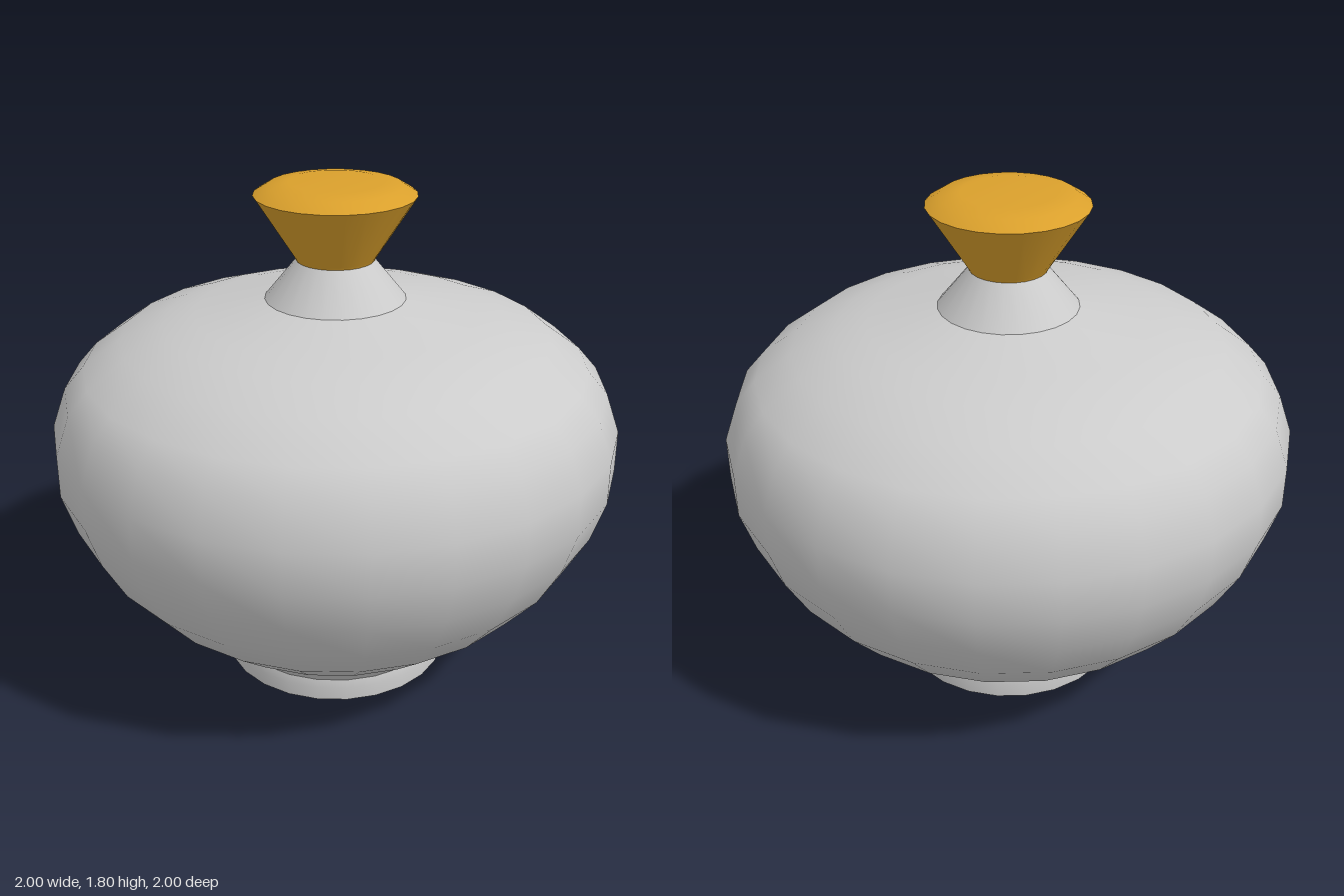
import * as THREE from 'three';

const SEGMENTS = 24;
const grey = new THREE.MeshStandardMaterial({ color: 0xcccccc, side: THREE.DoubleSide });
const amber = new THREE.MeshStandardMaterial({ color: 0xdaa02c, side: THREE.DoubleSide });

// Turned surface from [radius, height] pairs, listed bottom to top
function turned(name, profile, material) {
  const points = profile.map(([r, y]) => new THREE.Vector2(r, y));
  const mesh = new THREE.Mesh(new THREE.LatheGeometry(points, SEGMENTS), material);
  mesh.name = name;
  return mesh;
}

export function createModel() {
  const bottle = new THREE.Group();
  bottle.name = 'bottle';

  // Foot ring with its flat underside; separate lathes keep the edges sharp
  bottle.add(turned('footBase', [[0, 0], [0.415, 0]], grey));
  bottle.add(turned('foot', [[0.415, 0], [0.415, 0.05], [0.408, 0.08]], grey));

  // Wide rounded belly rising to the shoulder
  bottle.add(turned('body', [
    [0.408, 0.08], [0.45, 0.13], [0.59, 0.23], [0.75, 0.36], [0.87, 0.5],
    [0.952, 0.65], [1, 0.8], [1, 0.95], [0.95, 1.09], [0.88, 1.17],
    [0.75, 1.265], [0.6, 1.317], [0.49, 1.345], [0.245, 1.395],
  ], grey));

  // Conical neck
  bottle.add(turned('neck', [[0.245, 1.395], [0.135, 1.53]], grey));

  // Flared stopper with a shallow domed top
  const stopper = new THREE.Group();
  stopper.name = 'stopper';
  stopper.add(turned('stopperBase', [[0, 1.53], [0.135, 1.53]], amber));
  stopper.add(turned('stopperCone', [[0.135, 1.53], [0.14, 1.54], [0.278, 1.755]], amber));
  stopper.add(turned('stopperTop', [[0.278, 1.755], [0.23, 1.785], [0.16, 1.797], [0, 1.797]], amber));
  bottle.add(stopper);

  return bottle;
}
